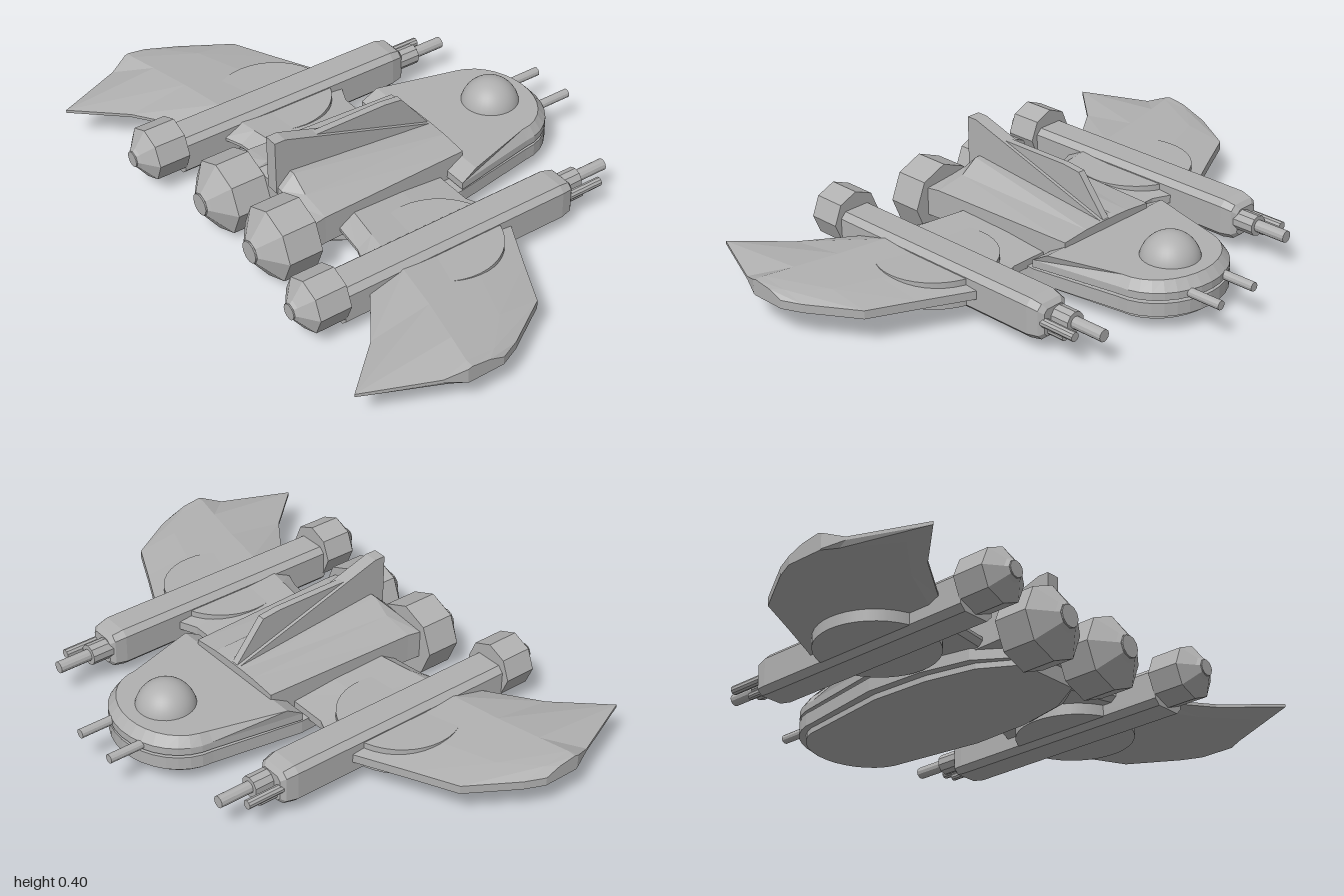
import * as THREE from 'three';

const hullGrey = new THREE.MeshStandardMaterial({ color: 0xb0b0b0 });
hullGrey.name = 'hull grey';

function add(parent, name, geometry) {
  const mesh = new THREE.Mesh(geometry, hullGrey);
  mesh.name = name;
  parent.add(mesh);
  return mesh;
}

// Flat-shaded skin over a row of cross-sections; side -1 mirrors it across x
function loft(sections, side = 1) {
  const pos = [];
  const tri = (a, b, c) => {
    for (const p of side > 0 ? [a, b, c] : [a, c, b]) pos.push(p[0] * side, p[1], p[2]);
  };
  const n = sections[0].length;
  for (let i = 0; i < sections.length - 1; i++) {
    const s = sections[i], t = sections[i + 1];
    for (let j = 0; j < n; j++) {
      const k = (j + 1) % n;
      tri(s[j], s[k], t[k]);
      tri(s[j], t[k], t[j]);
    }
  }
  const first = sections[0], last = sections[sections.length - 1];
  for (let j = 1; j < n - 1; j++) {
    tri(first[0], first[j + 1], first[j]);
    tri(last[0], last[j], last[j + 1]);
  }
  const g = new THREE.BufferGeometry();
  g.setAttribute('position', new THREE.Float32BufferAttribute(pos, 3));
  g.computeVertexNormals();
  return g;
}

// Faceted round part along z from [z, radius] pairs
function turned(x, y, profile, sides = 8) {
  return loft(profile.map(([z, r]) => Array.from({ length: sides }, (_, i) => {
    const a = Math.PI / 2 + (i / sides) * Math.PI * 2;
    return [x + r * Math.cos(a), y + r * Math.sin(a), z];
  })));
}

// Horizontal slab from a plan outline of [x, z] points
function slab(points, y0, y1) {
  const shape = new THREE.Shape(points.map(([x, z]) => new THREE.Vector2(x, z)));
  return new THREE.ExtrudeGeometry(shape, { depth: y1 - y0, bevelEnabled: false })
    .rotateX(Math.PI / 2).translate(0, y1, 0);
}

// Plan of the hull: round nose, then the given right-hand points, mirrored
function hullPlan(nose, half, flank) {
  const pts = [];
  for (let i = 0; i <= 16; i++) {
    const a = Math.PI - (i / 16) * Math.PI;
    pts.push([half * Math.cos(a), -0.44 + (nose + 0.44) * Math.sin(a)]);
  }
  flank.forEach((p) => pts.push(p));
  [...flank].reverse().forEach(([x, z]) => pts.push([-x, z]));
  return pts;
}

// Upright plate of even thickness from a side profile of [z, y] points
function plate(points, width) {
  const shape = new THREE.Shape(points.map(([z, y]) => new THREE.Vector2(-z, y)));
  return new THREE.ExtrudeGeometry(shape, { depth: width, bevelEnabled: false })
    .translate(0, 0, -width / 2).rotateY(Math.PI / 2);
}

function buildHull(parent) {
  const hull = new THREE.Group();
  hull.name = 'hull';
  parent.add(hull);

  // Stacked lower layers
  const tail = (w) => [[w + 0.05, -0.12], [w + 0.04, 0.1], [w, 0.28], [w * 0.6, 0.41]];
  add(hull, 'bellyPlate', slab(hullPlan(-0.61, 0.205, tail(0.2)), 0.045, 0.068));
  add(hull, 'lowerHull', slab(hullPlan(-0.635, 0.228, tail(0.23)), 0.065, 0.112));
  add(hull, 'hullGroove', slab(hullPlan(-0.585, 0.195, [[0.24, -0.13]]), 0.11, 0.13));

  // Forward deck with a sloped rim
  const rim = (nose, half, back, backZ, y) =>
    hullPlan(nose, half, [[back, backZ]]).map(([x, z]) => [x, y, z]);
  add(hull, 'forwardDeck', loft([
    rim(-0.635, 0.228, 0.285, -0.12, 0.122),
    rim(-0.635, 0.228, 0.285, -0.12, 0.148),
    rim(-0.605, 0.205, 0.28, -0.18, 0.182),
  ].map((s) => s.reverse())));

  // Raised rear body with a ridged roof
  const body = (z, w, shoulder, mid, midY, top, topY) => [
    [w, 0.1, z], [w, shoulder, z], [mid, midY, z], [top, topY, z],
    [-top, topY, z], [-mid, midY, z], [-w, shoulder, z], [-w, 0.1, z],
  ];
  add(hull, 'rearBody', loft([
    body(-0.185, 0.2, 0.2, 0.1, 0.21, 0.04, 0.212),
    body(0.385, 0.222, 0.205, 0.11, 0.225, 0.045, 0.27),
    body(0.435, 0.226, 0.2, 0.11, 0.212, 0.045, 0.222),
  ]));

  // Tail fin: thin blade over a thicker wedge
  add(hull, 'finBlade', plate([
    [-0.18, 0.2], [-0.18, 0.212], [-0.07, 0.35], [0, 0.358], [0.28, 0.358], [0.36, 0.2],
  ], 0.026));
  add(hull, 'finWedge', plate([
    [-0.18, 0.2], [-0.18, 0.212], [0.4, 0.4], [0.44, 0.4], [0.44, 0.2],
  ], 0.05));

  // Cockpit dome
  const dome = add(hull, 'cockpitDome',
    new THREE.SphereGeometry(0.103, 32, 16, 0, Math.PI * 2, 0, Math.PI / 2 + 0.2));
  dome.position.set(0, 0.16, -0.46);
}

function buildSide(parent, s) {
  const group = new THREE.Group();
  group.name = s > 0 ? 'leftSide' : 'rightSide';
  parent.add(group);

  // Wing stations: x, leading z, ridge z, trailing z, ridge y
  const stations = [
    [0.15, -0.09, 0.26, 0.32, 0.168], [0.34, -0.09, 0.29, 0.345, 0.168],
    [0.41, -0.12, 0.3, 0.37, 0.168], [0.54, -0.12, 0.31, 0.44, 0.168],
    [0.71, -0.035, 0.34, 0.56, 0.167], [0.865, 0.04, 0.375, 0.73, 0.166],
    [0.97, 0.21, 0.4, 0.485, 0.165], [1, 0.28, 0.4, 0.415, 0.164],
  ];
  add(group, 'wing', loft(stations.map(([x, le, ridge, te, y]) => [
    [x, 0.155, le + (ridge - le) * 0.45], [x, y, ridge],
    [x, x < 0.98 ? 0.133 : 0.16, te], [x, x < 0.98 ? 0.122 : 0.108, te],
    [x, 0.105, te - (te - ridge) * 0.3], [x, 0.105, le], [x, 0.135, le],
  ]), s));

  // Round housing through the wing
  const disc = add(group, 'wingDisc',
    new THREE.CylinderGeometry(0.205, 0.205, 0.096, 40).translate(0, 0.113, 0));
  disc.position.set(s * 0.48, 0, 0.122);

  // Long pod with chamfered corners
  const pod = (z, w, y0, y1) => {
    const c = w * 0.3;
    return [
      [0.47 + w, y0 + c, z], [0.47 + w, y1 - c, z], [0.47 + w - c, y1, z], [0.47 - w + c, y1, z],
      [0.47 - w, y1 - c, z], [0.47 - w, y0 + c, z], [0.47 - w + c, y0, z], [0.47 + w - c, y0, z],
    ];
  };
  add(group, 'pod', loft([
    pod(-0.395, 0.045, 0.065, 0.16), pod(-0.38, 0.06, 0.052, 0.176),
    pod(-0.34, 0.068, 0.046, 0.185), pod(0.53, 0.068, 0.046, 0.185),
  ], s));
  add(group, 'podEngine', turned(s * 0.47, 0.147,
    [[0.525, 0.095], [0.64, 0.095], [0.68, 0.04], [0.69, 0.03]]));
  add(group, 'podNozzle', turned(s * 0.47, 0.147, [[0.68, 0.028], [0.694, 0.028]], 12));

  // Pod guns
  add(group, 'podGunSleeve', turned(s * 0.45, 0.12, [[-0.465, 0.037], [-0.37, 0.037]], 10));
  add(group, 'podGunBarrel', turned(s * 0.45, 0.12, [[-0.585, 0.021], [-0.4, 0.021]], 12));
  add(group, 'podOuterGun', turned(s * 0.51, 0.115, [[-0.52, 0.016], [-0.36, 0.016]], 10));
  add(group, 'podLowerGun', turned(s * 0.49, 0.082, [[-0.46, 0.013], [-0.36, 0.013]], 10));

  // Main engine and nose gun
  add(group, 'mainEngine', turned(s * 0.148, 0.132,
    [[0.435, 0.131], [0.56, 0.131], [0.615, 0.055], [0.625, 0.042]]));
  add(group, 'mainNozzle', turned(s * 0.148, 0.132, [[0.6, 0.039], [0.63, 0.039]], 12));
  add(group, 'noseGun', turned(s * 0.082, 0.135, [[-0.74, 0.016], [-0.56, 0.016]], 12));
}

export function createModel() {
  const model = new THREE.Group();
  model.name = 'spacecraft';
  buildHull(model);
  for (const s of [1, -1]) buildSide(model, s);
  return model;
}
